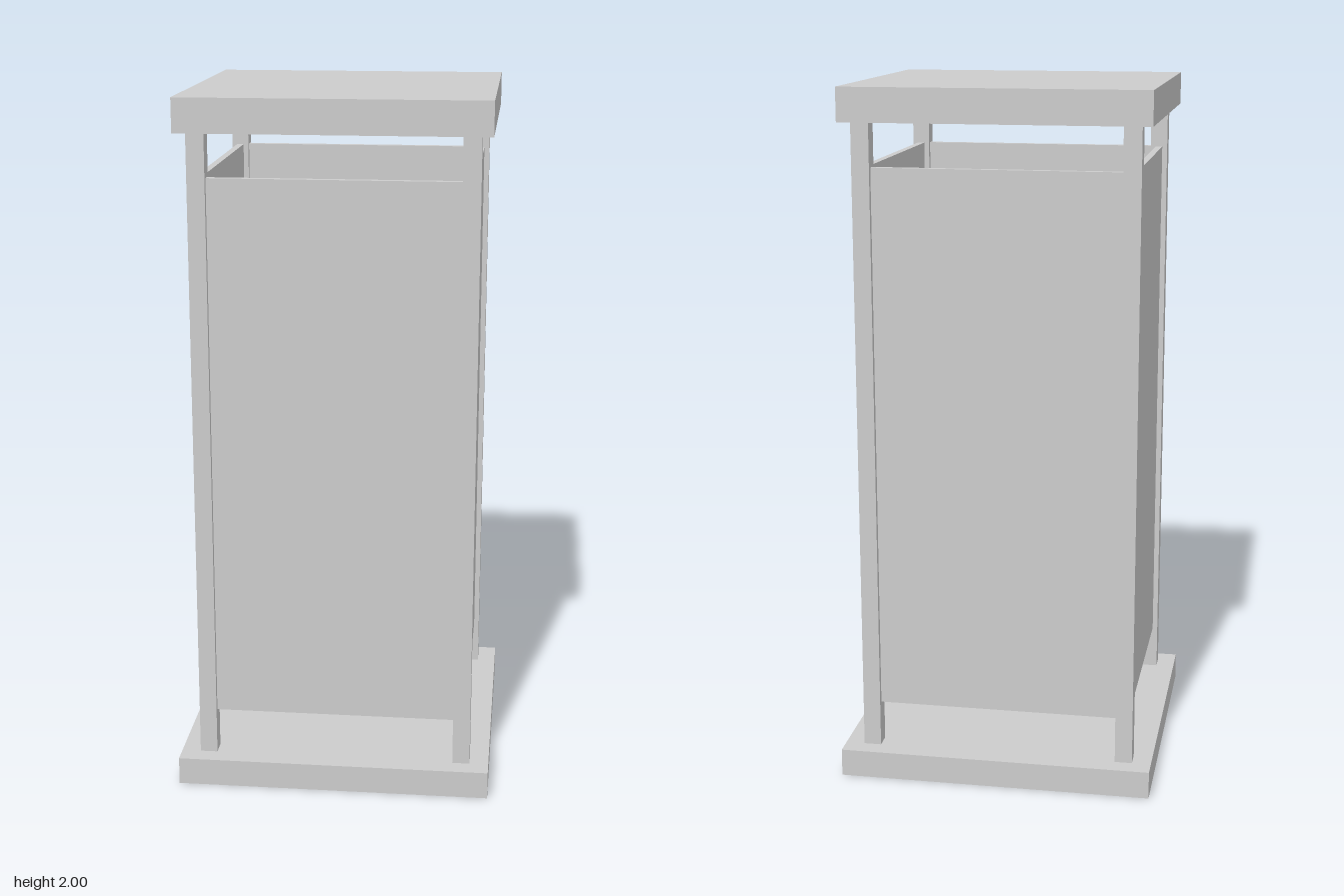
import * as THREE from 'three';

export function createModel() {
  const model = new THREE.Group();
  const grey = new THREE.MeshStandardMaterial({ color: 0xcccccc });
  grey.name = 'light grey';

  // Box spanning y0 to y1, centred on x and z
  function addBox(name, width, depth, y0, y1, x = 0, z = 0) {
    const mesh = new THREE.Mesh(new THREE.BoxGeometry(width, y1 - y0, depth), grey);
    mesh.name = name;
    mesh.position.set(x, (y0 + y1) / 2, z);
    model.add(mesh);
  }

  const baseTop = 0.08, roofBottom = 1.905;
  const post = 0.05, offset = 0.373;
  const panelWidth = 2 * offset - post, panelThickness = 0.02;

  // Base slab and roof slab
  addBox('base', 0.906, 0.906, 0, baseTop);
  addBox('roof', 0.858, 0.858, roofBottom, 2);

  for (const side of [-1, 1]) {
    // Corner posts
    for (const end of [-1, 1]) {
      addBox('cornerPost', post, post, baseTop, roofBottom, side * offset, end * offset);
    }
    // Wall panels held between the posts, open above and below
    addBox(side > 0 ? 'frontPanel' : 'backPanel', panelWidth, panelThickness, 0.21, 1.78, 0, side * offset);
    addBox(side > 0 ? 'leftPanel' : 'rightPanel', panelThickness, panelWidth, 0.21, 1.78, side * offset, 0);
  }

  return model;
}
